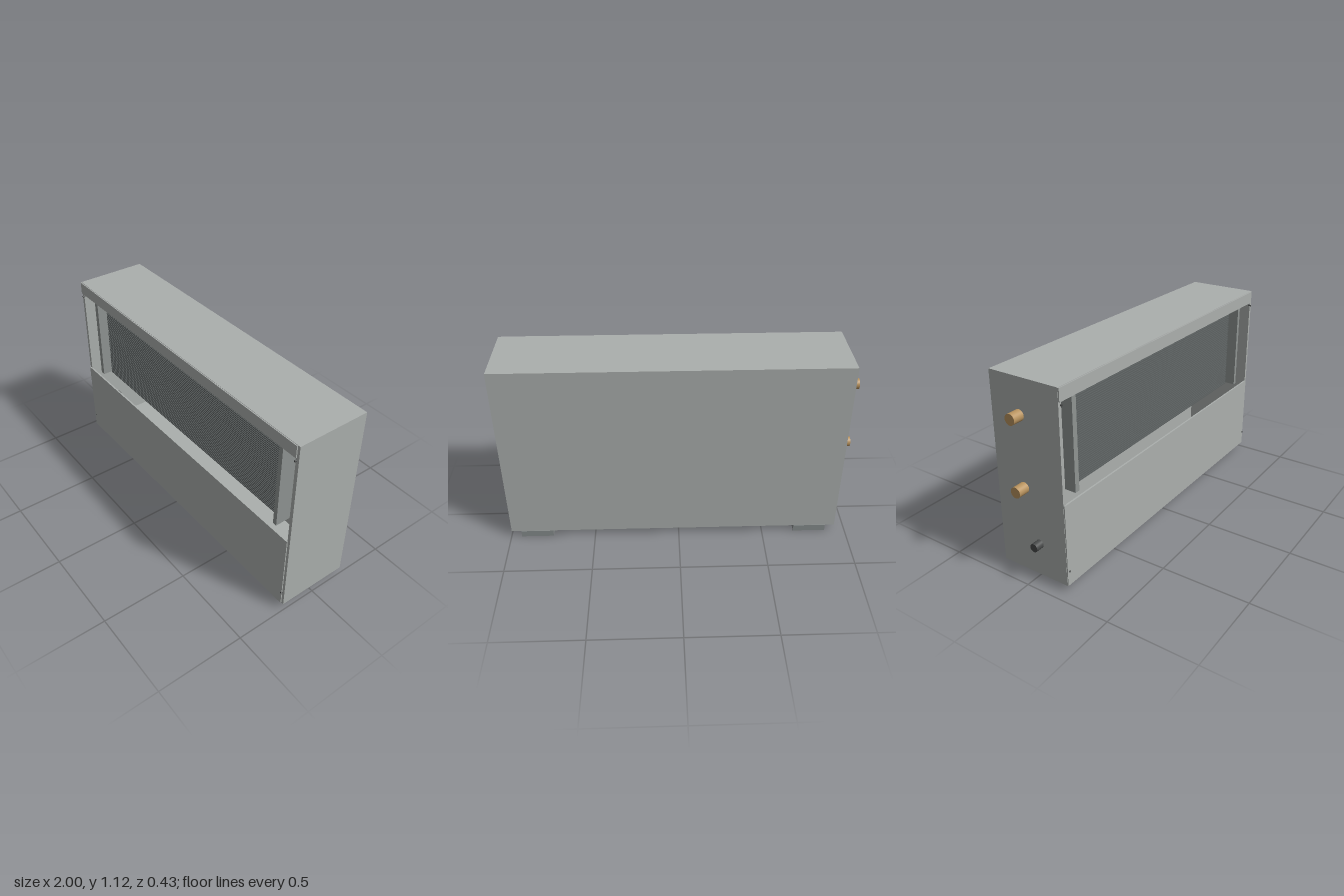
import * as THREE from 'three';

export function createModel() {
  const model = new THREE.Group();
  model.name = 'fanCoilUnit';

  const material = (name, color) => {
    const m = new THREE.MeshStandardMaterial({ color });
    m.name = name;
    return m;
  };
  const casing = material('casingGrey', 0xabafad);
  const footGrey = material('footGrey', 0x868c8c);
  const bracketGrey = material('bracketGrey', 0x8f9492);
  const finLight = material('finGrey', 0x5c6161);
  const finDark = material('coilDark', 0x3a3f40);
  const copper = material('copper', 0xb8935f);
  const black = material('blackPlastic', 0x484a4a);

  // Box given by its lower and upper limits on each axis
  const box = (name, mat, x0, x1, y0, y1, z0, z1, parent = model) => {
    const mesh = new THREE.Mesh(new THREE.BoxGeometry(x1 - x0, y1 - y0, z1 - z0), mat);
    mesh.position.set((x0 + x1) / 2, (y0 + y1) / 2, (z0 + z1) / 2);
    mesh.name = name;
    parent.add(mesh);
    return mesh;
  };

  // Hollow sheet-metal casing
  const L = -0.935, R = 0.995, B = 0.04, T = 1.115, Z0 = -0.21, Z1 = 0.207, t = 0.01;
  box('backPanel', casing, L, R, B, T, Z0, Z0 + t);
  box('rightSide', casing, L, L + t, B, T, Z0 + t, Z1);
  box('leftSide', casing, R - t, R, B, T, Z0 + t, Z1);
  box('topPanel', casing, L + t, R - t, T - t, T, Z0 + t, Z1);
  box('bottomPanel', casing, L + t, R - t, B, B + t, Z0 + t, Z1);

  // Front flanges and the panels laid over them
  box('rightFlange', casing, L + t, -0.915, B + t, T - t, Z1 - 0.008, Z1);
  box('leftFlange', casing, 0.978, R - t, B + t, T - t, Z1 - 0.008, Z1);
  box('lowerFrontPanel', casing, L + 0.002, 0.98, B, 0.505, Z1 - 0.004, 0.213);
  box('upperFrontPanel', casing, L + 0.002, 0.98, 1.043, T - 0.002, Z1 - 0.004, 0.213);

  // Heat-exchanger coil with horizontal fins
  const coil = new THREE.Group();
  coil.name = 'coil';
  model.add(coil);
  box('coilCore', finDark, -0.78, 0.832, 0.517, 1.047, 0.1, 0.13, coil);
  const fins = 44, pitch = 0.53 / fins;
  for (let i = 0; i < fins; i++) {
    const y = 0.517 + i * pitch;
    box('fin', finLight, -0.78, 0.832, y + pitch * 0.2, y + pitch * 0.75, 0.13, 0.138, coil);
  }

  // Coil end brackets
  for (const [x0, x1] of [[-0.82, -0.79], [0.85, 0.874]]) {
    box('coilBracket', bracketGrey, x0, x1, 0.517, 1.047, 0.1, 0.19);
  }

  // Feet
  for (const x of [-0.88, 0.748]) {
    box('foot', footGrey, x, x + 0.19, 0, B, -0.213, 0.093);
  }

  // Pipe stubs on the side: outer end, height, depth, radius
  const pipe = (name, mat, x, y, z, r) => {
    const length = L + 0.04 - x;
    const mesh = new THREE.Mesh(new THREE.CylinderGeometry(r, r, length, 32), mat);
    mesh.rotation.z = Math.PI / 2;
    mesh.position.set(x + length / 2, y, z);
    mesh.name = name;
    model.add(mesh);
  };
  pipe('supplyPipe', copper, -1, 0.92, -0.036, 0.03);
  pipe('returnPipe', copper, -1, 0.53, -0.036, 0.03);
  pipe('drainPipe', black, -0.983, 0.23, 0.042, 0.023);

  // Front screws
  for (const x of [-0.918, 0.977]) for (const y of [0.122, 1.025]) {
    const screw = new THREE.Mesh(new THREE.CylinderGeometry(0.005, 0.005, 0.016, 12), black);
    screw.rotation.x = Math.PI / 2;
    screw.position.set(x, y, 0.208);
    screw.name = 'screw';
    model.add(screw);
  }
  return model;
}
